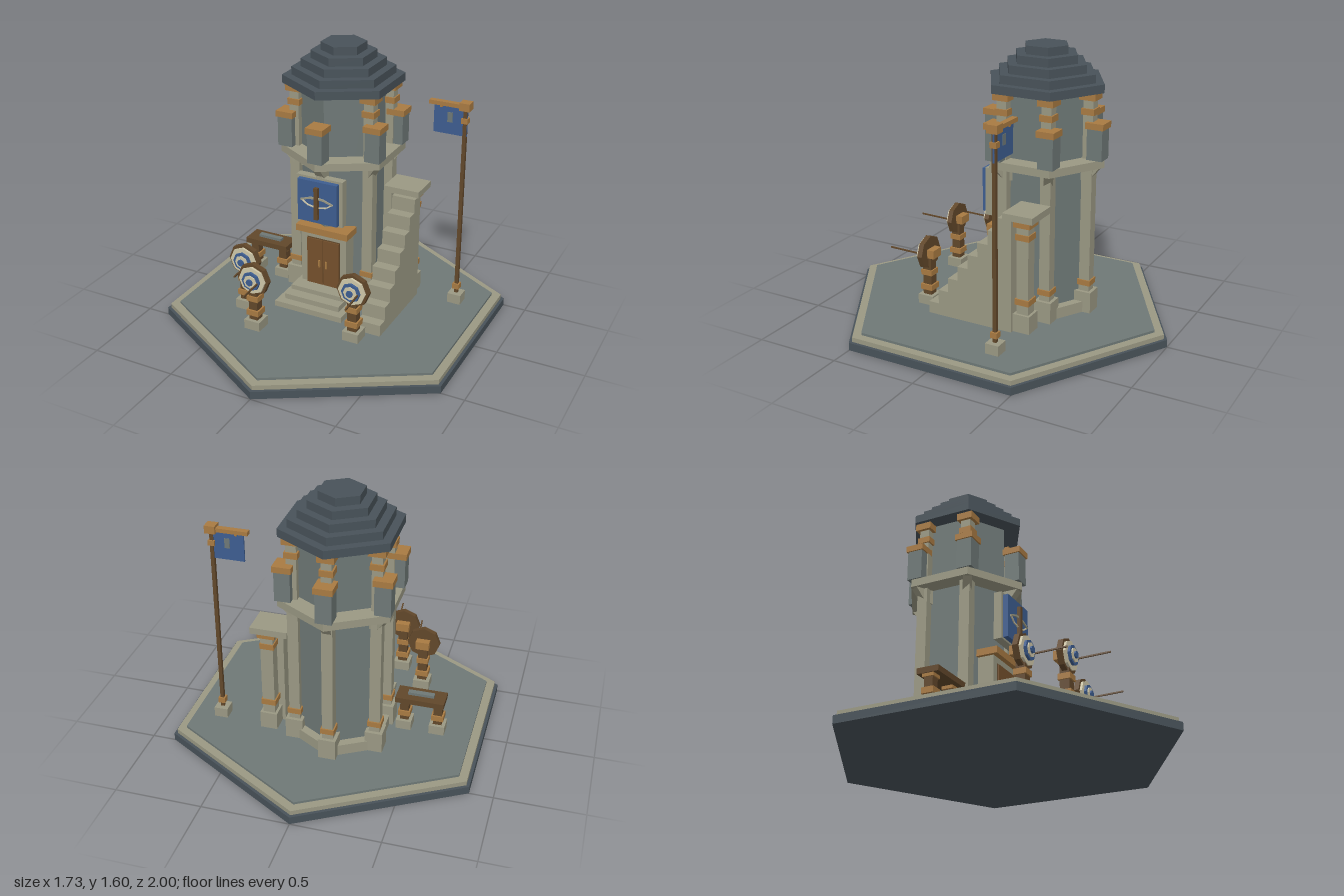
import * as THREE from 'three';

const mat = (name, color) => {
  const m = new THREE.MeshStandardMaterial({ color });
  m.name = name;
  return m;
};

export function createModel() {
  const slate = mat('darkSlate', 0x485259), gray = mat('grayStone', 0x6e7876);
  const stone = mat('paleStone', 0x9a9883), trim = mat('lightWood', 0xa87a42);
  const wood = mat('darkWood', 0x61472a), doorWood = mat('doorWood', 0x74502c);
  const blue = mat('blueCloth', 0x3d5d90), cream = mat('cream', 0xcfc7a9);
  const root = new THREE.Group();

  const group = (name, x = 0, z = 0, parent = root) => {
    const g = new THREE.Group();
    g.name = name;
    g.position.set(x, 0, z);
    parent.add(g);
    return g;
  };
  const add = (parent, name, geo, material) => {
    const flat = geo.index ? geo.toNonIndexed() : geo;
    flat.computeVertexNormals();
    const m = new THREE.Mesh(flat, material);
    m.name = name;
    parent.add(m);
    return m;
  };
  // Box given by its extents on each axis
  const box = (p, name, m, x0, x1, y0, y1, z0, z1) => {
    const b = add(p, name, new THREE.BoxGeometry(x1 - x0, y1 - y0, z1 - z0), m);
    b.position.set((x0 + x1) / 2, (y0 + y1) / 2, (z0 + z1) / 2);
    return b;
  };
  // Square block centred on its parent
  const block = (p, name, m, w, y0, y1, x = 0, z = 0) =>
    box(p, name, m, x - w / 2, x + w / 2, y0, y1, z - w / 2, z + w / 2);
  const hex = (p, name, m, r, y0, y1) => {
    const h = add(p, name, new THREE.CylinderGeometry(r, r, y1 - y0, 6), m);
    h.position.y = (y0 + y1) / 2;
    return h;
  };

  // Hexagonal ground
  const ground = group('ground');
  hex(ground, 'groundFoot', slate, 1, 0, 0.045);
  hex(ground, 'groundRim', stone, 0.98, 0.045, 0.072);
  hex(ground, 'groundFloor', gray, 0.925, 0.072, 0.086);

  // Tower body and stepped roof
  const tower = group('tower', -0.065, -0.21);
  hex(tower, 'towerFoot', stone, 0.3, 0.08, 0.15);
  hex(tower, 'towerWall', gray, 0.245, 0.15, 1.37);
  hex(tower, 'balconyRing', stone, 0.358, 0.945, 0.99);
  [0.347, 0.294, 0.241, 0.187, 0.13].forEach((r, i) =>
    hex(tower, 'roofTier', slate, r, 1.36 + i * 0.047, 1.407 + i * 0.047));

  // Corner pilasters, corbels, parapet posts and upper columns
  for (let i = 0; i < 6; i++) {
    const a = i * Math.PI / 3, sx = Math.sin(a), cz = Math.cos(a);
    const post = group('parapetPost', sx * 0.315, cz * 0.315, tower);
    block(post, 'postBody', gray, 0.09, 0.99, 1.165);
    block(post, 'postCap', trim, 0.106, 1.165, 1.2);

    const wedge = new THREE.Shape([[0.22, 0.945], [0.22, 0.86], [0.28, 0.87], [0.338, 0.945]]
      .map(([x, y]) => new THREE.Vector2(x, y)));
    const geo = new THREE.ExtrudeGeometry(wedge, { depth: 0.05, bevelEnabled: false });
    geo.translate(0, 0, -0.025);
    add(tower, 'corbel', geo, stone).rotation.y = a - Math.PI / 2;

    if (i === 0) continue; // the front corner holds the door
    const col = group('cornerColumn', sx * 0.268, cz * 0.268, tower);
    block(col, 'plinth', stone, 0.1, 0.08, 0.21);
    block(col, 'pilaster', stone, 0.062, 0.21, 0.95);
    block(col, 'lowerBand', trim, 0.078, 0.245, 0.277);
    block(col, 'upperColumn', stone, 0.058, 0.99, 1.33);
    block(col, 'upperBand', trim, 0.076, 1.237, 1.272);
    block(col, 'capital', trim, 0.094, 1.32, 1.36);
  }

  // Doorway with steps
  const entry = group('doorway', -0.065, 0);
  box(entry, 'doorFrame', stone, -0.145, 0.145, 0.15, 0.52, -0.12, 0.045);
  box(entry, 'lintel', trim, -0.165, 0.165, 0.515, 0.555, -0.05, 0.075);
  for (const s of [-1, 1]) {
    const leaf = box(entry, 'doorLeaf', doorWood, -0.0505, 0.0505, 0.18, 0.472, 0.04, 0.056);
    leaf.position.x = s * 0.0525;
    block(entry, 'doorHandle', trim, 0.009, 0.295, 0.34, s * 0.022, 0.06);
  }
  box(entry, 'doorGap', wood, -0.105, 0.105, 0.18, 0.477, 0.04, 0.049);
  [[0.215, 0.12, 0.25], [0.175, 0.152, 0.2], [0.168, 0.18, 0.135]].forEach(([w, y, z]) =>
    box(entry, 'doorStep', stone, -w, w, 0.08, y, -0.05, z));

  // Hanging sign with a crossbow emblem
  const sign = group('sign', -0.065, 0);
  box(sign, 'signFrame', stone, -0.145, 0.145, 0.605, 0.885, 0.045, 0.092);
  box(sign, 'signPanel', blue, -0.124, 0.124, 0.617, 0.872, 0.092, 0.122);
  box(sign, 'signHanger', stone, -0.022, 0.022, 0.88, 0.945, 0.03, 0.09);
  box(sign, 'crossbowStock', wood, -0.012, 0.012, 0.645, 0.84, 0.122, 0.143);
  const strip = (name, m, x0, y0, x1, y1, w, z) => {
    const l = Math.hypot(x1 - x0, y1 - y0);
    const b = box(sign, name, m, -l / 2, l / 2, -w / 2, w / 2, z, z + 0.008);
    b.position.x = (x0 + x1) / 2;
    b.position.y = (y0 + y1) / 2;
    b.rotation.z = Math.atan2(y1 - y0, x1 - x0);
  };
  for (const s of [-1, 1]) {
    strip('crossbowLimb', stone, s * 0.1, 0.752, s * 0.045, 0.77, 0.01, 0.126);
    strip('crossbowLimb', stone, s * 0.048, 0.77, 0, 0.775, 0.012, 0.126);
    strip('crossbowString', cream, s * 0.1, 0.752, s * 0.055, 0.723, 0.006, 0.122);
    strip('crossbowString', cream, s * 0.058, 0.724, 0, 0.715, 0.006, 0.122);
  }

  // Outer staircase: stepped profile extruded sideways
  const stairs = group('staircase');
  const profile = [[0.25, 0.08], [-0.275, 0.08]];
  for (let i = 0; i < 8; i++) {
    const y = 0.155 + i * 0.0835;
    profile.push([-0.275 + i * 0.0635, y], [-0.275 + (i + 1) * 0.0635, y]);
  }
  profile.push([0.25, 0.739]);
  const steps = new THREE.ExtrudeGeometry(
    new THREE.Shape(profile.reverse().map(([x, y]) => new THREE.Vector2(x, y))),
    { depth: 0.14, bevelEnabled: false });
  const run = add(stairs, 'stairs', steps, stone);
  run.rotation.y = Math.PI / 2;
  run.position.x = 0.266;
  box(stairs, 'landing', stone, 0.2, 0.415, 0.737, 0.775, -0.38, -0.2);
  const prop = group('landingColumn', 0.335, -0.3, stairs);
  block(prop, 'plinth', stone, 0.1, 0.08, 0.19);
  block(prop, 'shaft', stone, 0.07, 0.19, 0.74);
  for (const [w, y] of [[0.086, 0.245], [0.082, 0.62], [0.1, 0.695]])
    block(prop, 'band', trim, w, y, y + 0.034);

  // Flagpole
  const flag = group('flagpole', 0.64, -0.285);
  block(flag, 'plinth', stone, 0.08, 0.08, 0.145);
  block(flag, 'pole', wood, 0.021, 0.145, 1.29);
  block(flag, 'band', trim, 0.04, 0.172, 0.205);
  block(flag, 'band', trim, 0.038, 1.208, 1.238);
  block(flag, 'finial', trim, 0.06, 1.285, 1.33);
  box(flag, 'arm', trim, -0.21, 0, 1.293, 1.316, -0.017, 0.017);
  box(flag, 'flagHook', trim, -0.147, -0.133, 1.282, 1.294, -0.012, 0.012);
  box(flag, 'flagCloth', blue, -0.183, 0.012, 1.13, 1.29, -0.005, 0.005);
  box(flag, 'flagMark', gray, -0.103, -0.073, 1.2, 1.258, -0.008, 0.008);

  // Short wooden post, shared by targets and bench
  const woodPost = (p, x, z, top, w) => {
    block(p, 'plinth', stone, w * 1.8, 0.08, 0.142, x, z);
    block(p, 'post', wood, w, 0.142, top, x, z);
    block(p, 'postBand', trim, w * 1.4, 0.172, 0.205, x, z);
    block(p, 'postBand', trim, w * 1.3, 0.262, 0.294, x, z);
  };

  // Archery targets, each with an arrow
  for (const [x, z] of [[-0.425, 0.32], [-0.265, 0.49], [0.28, 0.35]]) {
    const target = group('target', x, z);
    woodPost(target, 0, 0, 0.42, 0.054);
    box(target, 'targetMount', trim, -0.04, 0.04, 0.372, 0.422, -0.055, 0);
    const rings = [[0.098, -0.012, 0.018, wood], [0.082, 0.018, 0.032, cream],
      [0.056, 0.032, 0.046, blue], [0.04, 0.046, 0.052, cream], [0.02, 0.052, 0.062, blue]];
    for (const [r, z0, z1, m] of rings) {
      const d = add(target, 'targetRing', new THREE.CylinderGeometry(r, r, z1 - z0, 8), m);
      d.rotation.x = Math.PI / 2;
      d.position.set(0, 0.395, (z0 + z1) / 2);
    }
    const arrow = box(target, 'arrow', wood, -0.004, 0.004, -0.004, 0.004, -0.1, 0.1);
    arrow.position.set(0.05, 0.397, 0.122);
    arrow.rotation.set(-0.06, 0.09, 0);
  }

  // Bench
  const bench = group('bench', -0.51, -0.103);
  for (const x of [-0.097, 0.097]) woodPost(bench, x, 0, 0.285, 0.05);
  box(bench, 'benchTop', wood, -0.135, 0.145, 0.28, 0.312, -0.063, 0.063);
  box(bench, 'benchSlab', gray, -0.07, 0.08, 0.312, 0.328, -0.016, 0.016);

  return root;
}
